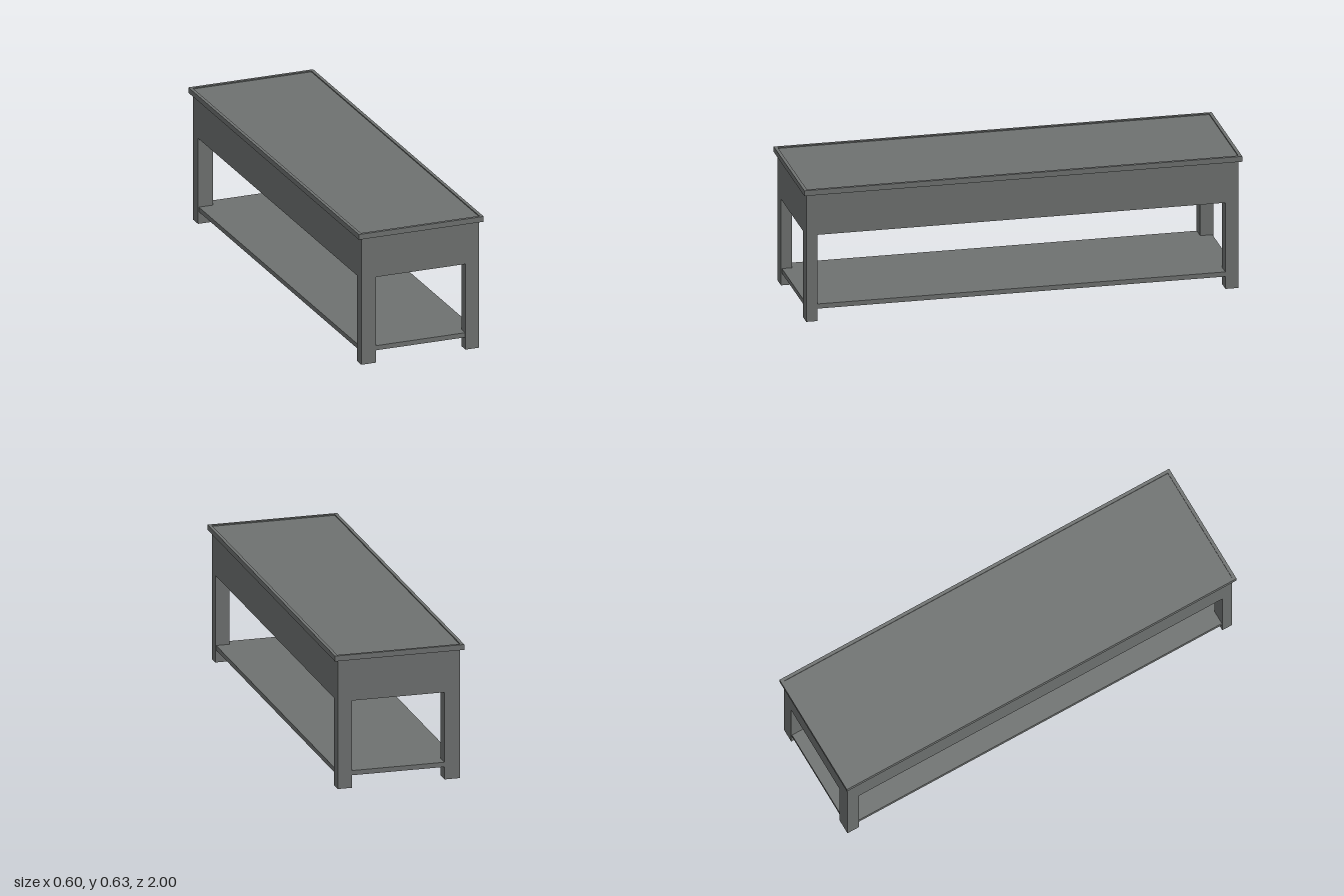
import * as THREE from 'three';

export function createModel() {
  const model = new THREE.Group();
  const paint = new THREE.MeshStandardMaterial({ color: 0x6e7170 });
  paint.name = 'grey paint';

  // Box given by its low and high corner on each axis
  function box(name, [x0, x1], [y0, y1], [z0, z1]) {
    const mesh = new THREE.Mesh(new THREE.BoxGeometry(x1 - x0, y1 - y0, z1 - z0), paint);
    mesh.position.set((x0 + x1) / 2, (y0 + y1) / 2, (z0 + z1) / 2);
    mesh.name = name;
    model.add(mesh);
  }

  // Upright rectangular ring, extruded along y
  function frame(name, w, d, wall, y0, y1) {
    const corners = (x, z) => [[-x, -z], [x, -z], [x, z], [-x, z]].map(p => new THREE.Vector2(...p));
    const shape = new THREE.Shape(corners(w, d));
    shape.holes.push(new THREE.Path(corners(w - wall, d - wall)));
    const geo = new THREE.ExtrudeGeometry(shape, { depth: y1 - y0, bevelEnabled: false });
    geo.rotateX(-Math.PI / 2).translate(0, y0, 0);
    const mesh = new THREE.Mesh(geo, paint);
    mesh.name = name;
    model.add(mesh);
  }

  const W = 0.283, D = 0.987; // half width and half depth of the body

  // Top: a panel set slightly below its raised rim
  frame('topRim', 0.3, 1, 0.015, 0.601, 0.626);
  box('topPanel', [-0.285, 0.285], [0.601, 0.621], [-0.985, 0.985]);

  // Hollow apron under the top
  frame('apron', W, D, 0.018, 0.407, 0.601);

  // Legs
  for (const [side, x] of [['Right', [-W, -0.212]], ['Left', [0.218, W]]]) {
    box('front' + side + 'Leg', x, [0, 0.407], [0.937, D]);
    box('back' + side + 'Leg', x, [0, 0.407], [-D, -0.927]);
  }

  // Lower shelf
  box('shelf', [-0.279, 0.279], [0.057, 0.079], [-0.983, 0.983]);

  return model;
}
